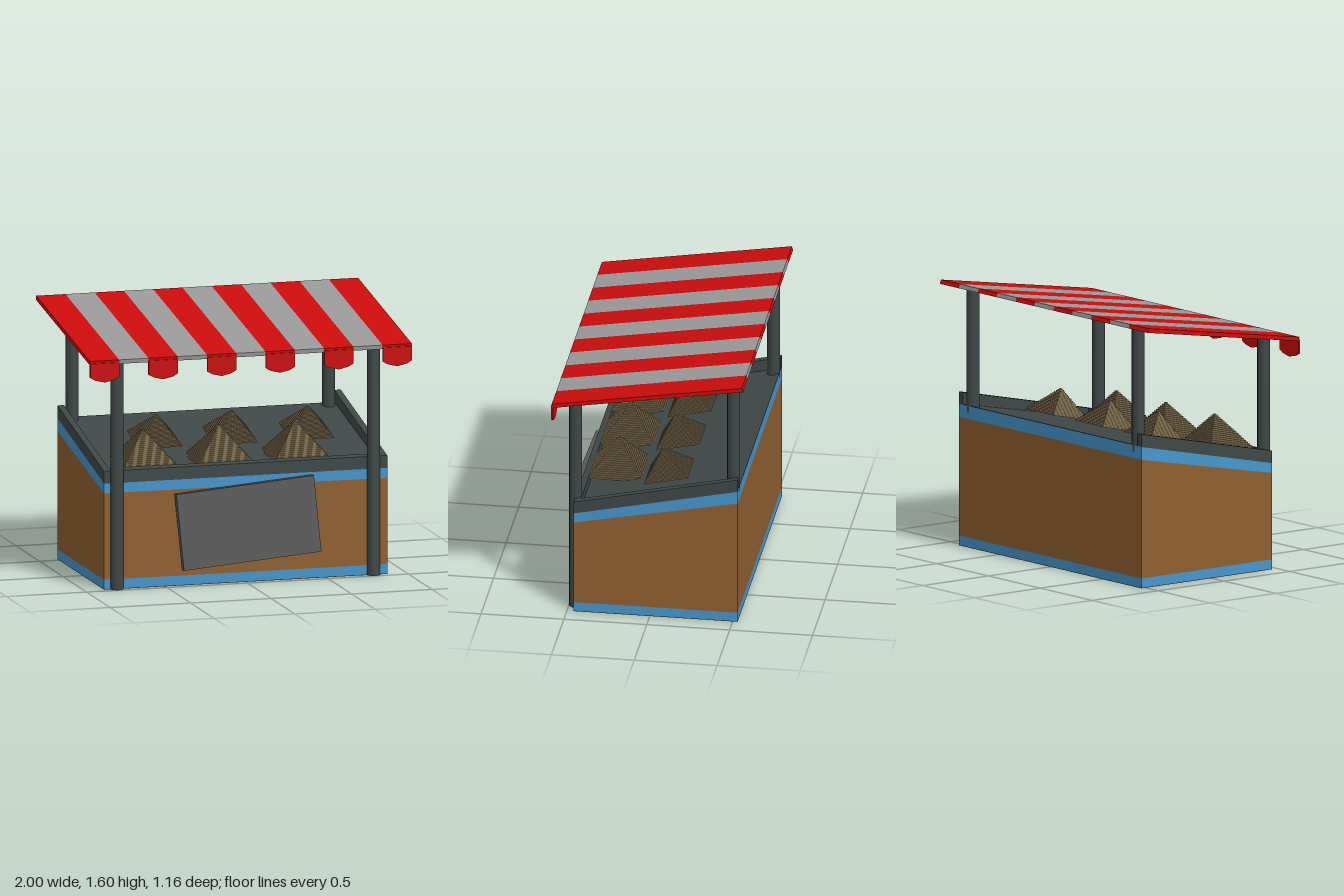
import * as THREE from 'three';
import { mergeGeometries } from 'three/addons/utils/BufferGeometryUtils.js';

const paint = (color) => new THREE.MeshStandardMaterial({ color });
const wood = paint(0x8f6030), blue = paint(0x4596cc), red = paint(0xcc0c0c);
const dark = paint(0x3f4747), tan = paint(0x83704f), cloth = paint(0x999999), board = paint(0x595959);

// Side profile of [z, y] points, extruded along x from x0 to x1
function slab(name, profile, x0, x1, material) {
  const shape = new THREE.Shape(profile.map(([z, y]) => new THREE.Vector2(-z, y)));
  const geometry = new THREE.ExtrudeGeometry(shape, { depth: x1 - x0, bevelEnabled: false });
  geometry.rotateY(Math.PI / 2).translate(x0, 0, 0);
  const mesh = new THREE.Mesh(geometry, material);
  mesh.name = name;
  return mesh;
}

// Four-sided profile between a lower and an upper line, each [yFront, yBack]
const FRONT = 0.46, BACK = -0.53;
const band = (low, high, zf = FRONT, zb = BACK) =>
  [[zf, low[0]], [zb, low[1]], [zb, high[1]], [zf, high[0]]];

// Pile of square layers; origin at the middle of its base
function pile(half, height) {
  const layers = 20, parts = [];
  for (let i = 0; i < layers; i++) {
    const w = 2 * half * (1 - i / layers);
    const box = new THREE.BoxGeometry(w, height / layers, w);
    parts.push(box.translate(0, (i + 0.5) * height / layers, 0));
  }
  return mergeGeometries(parts);
}

function createCounter() {
  const g = new THREE.Group();
  g.name = 'counter';
  const w = 0.88;
  g.add(slab('underside', band([0, 0], [0.004, 0.004]), -w, w, board));
  g.add(slab('baseTrim', band([0.004, 0.004], [0.06, 0.06]), -w, w, blue));
  g.add(slab('counterBody', band([0.06, 0.06], [0.585, 0.78]), -w, w, wood));
  g.add(slab('topTrim', band([0.585, 0.78], [0.645, 0.858]), -w, w, blue));
  g.add(slab('displayDeck', band([0.645, 0.858], [0.665, 0.862]), -w + 0.04, w - 0.04, dark));
  // Raised boards on both sides and along the front
  for (const x of [-w, w - 0.04])
    g.add(slab('sideBoard', band([0.645, 0.858], [0.72, 0.935]), x, x + 0.04, dark));
  g.add(slab('frontBoard', band([0.645, 0.654], [0.72, 0.729], FRONT, 0.42), -w + 0.04, w - 0.04, dark));
  return g;
}

function createPosts() {
  const g = new THREE.Group();
  g.name = 'posts';
  for (const x of [-0.8, 0.793])
    for (const [name, z, y0, y1] of [['frontPost', 0.46, 0, 1.42], ['backPost', -0.493, 0.82, 1.575]]) {
      const post = new THREE.Mesh(new THREE.CylinderGeometry(0.039, 0.039, y1 - y0, 16), dark);
      post.name = name;
      post.position.set(x, (y0 + y1) / 2, z);
      g.add(post);
    }
  return g;
}

function createCanopy() {
  const g = new THREE.Group();
  g.name = 'canopy';
  const count = 11, w = 2 / count, h = w / 2;
  const profile = [[0.57, 1.39], [-0.58, 1.575], [-0.573, 1.6], [0.573, 1.415]];
  // Hanging scallop, bowed slightly forward
  const outline = [[-h, 1.4], [-h, 1.315], [-0.06, 1.297], [0, 1.283], [0.06, 1.297], [h, 1.315], [h, 1.4]];
  const flap = new THREE.ExtrudeGeometry(
    new THREE.Shape(outline.map(([x, y]) => new THREE.Vector2(x, y))),
    { depth: 0.012, bevelEnabled: false });
  flap.translate(0, 0, 0.566);
  for (let i = 0; i < count; i++) {
    const x = -1 + i * w, isRed = i % 2 === 0;
    g.add(slab(isRed ? 'redStripe' : 'greyStripe', profile, x, x + w, isRed ? red : cloth));
    if (isRed) {
      const mesh = new THREE.Mesh(flap, red);
      mesh.name = 'canopyFlap';
      mesh.position.x = x + h;
      g.add(mesh);
    }
  }
  return g;
}

function createGoods() {
  const g = new THREE.Group();
  g.name = 'goods';
  // Front row stands upright, back row leans with the deck
  const rows = [
    { xs: [-0.58, -0.11, 0.365], y: 0.715, z: 0.26, tilt: 0, half: 0.168, height: 0.207 },
    { xs: [-0.413, 0.055, 0.53], y: 0.792, z: -0.065, tilt: 0.218, half: 0.133, height: 0.158 },
  ];
  for (const r of rows) {
    const geometry = pile(r.half, r.height);
    for (const x of r.xs) {
      const mesh = new THREE.Mesh(geometry, tan);
      mesh.name = 'goodsPile';
      mesh.position.set(x, r.y, r.z);
      mesh.rotation.x = r.tilt;
      g.add(mesh);
    }
  }
  return g;
}

export function createModel() {
  const model = new THREE.Group();
  model.name = 'marketStall';
  model.add(createCounter(), createPosts(), createCanopy(), createGoods());

  // Blank board leaning crooked against the front
  const sign = new THREE.Mesh(new THREE.BoxGeometry(0.858, 0.462, 0.045), board);
  sign.name = 'signBoard';
  sign.position.set(-0.002, 0.37, 0.515);
  sign.rotation.set(-0.065, 0, 0.082);
  model.add(sign);
  return model;
}
